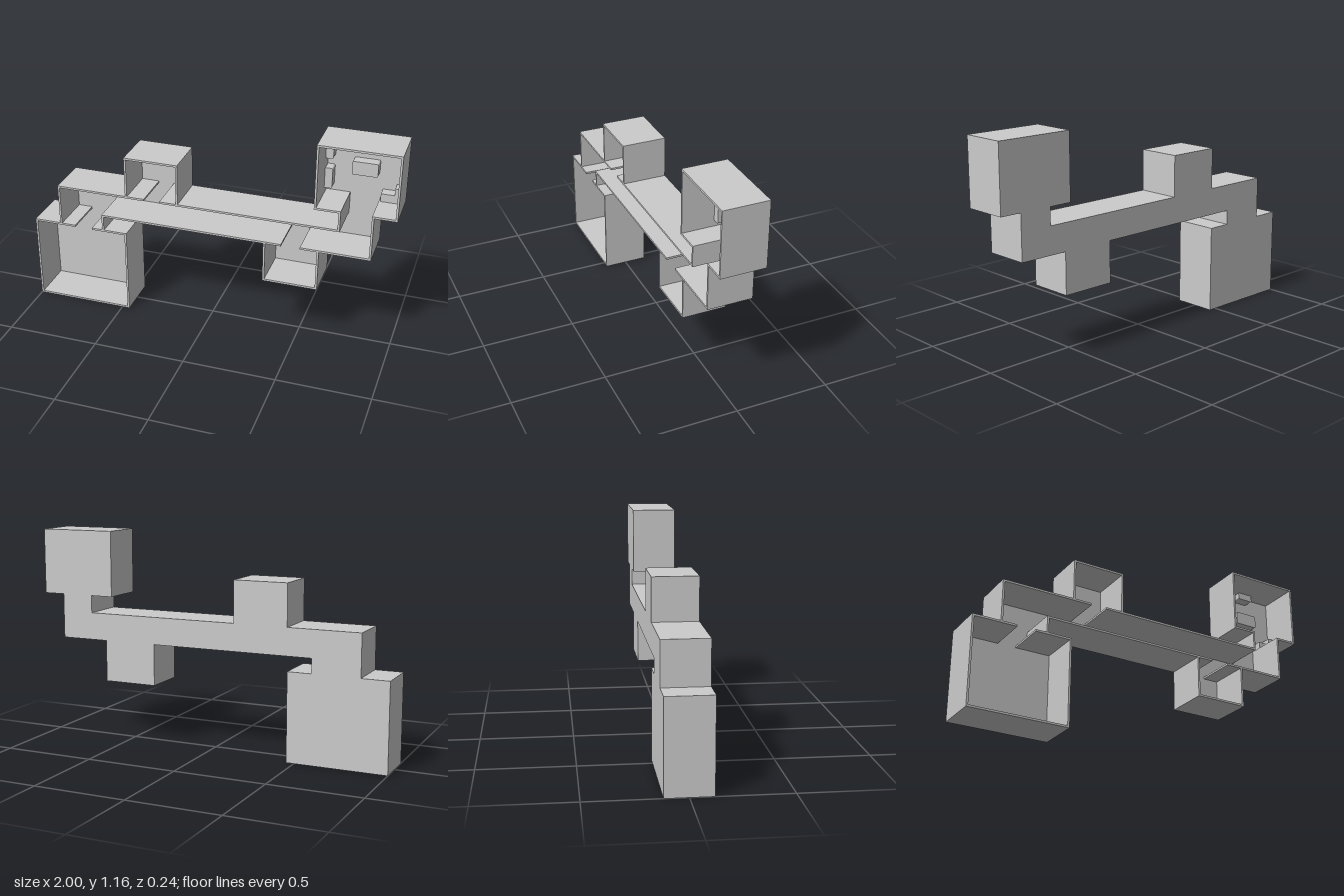
import * as THREE from 'three';

const T = 0.011;             // wall thickness
const BACK = -0.12, FRONT = 0.12;
const material = new THREE.MeshStandardMaterial({ color: 0xcccccc, flatShading: true });

const polygon = (points) => points.map(([x, y]) => new THREE.Vector2(x, y));

function slab(name, shape, z0, z1) {
  const geometry = new THREE.ExtrudeGeometry(shape, { depth: z1 - z0, bevelEnabled: false, curveSegments: 4 });
  geometry.translate(0, 0, z0);
  const mesh = new THREE.Mesh(geometry, material);
  mesh.name = name;
  return mesh;
}

// Rectangle with slightly rounded corners
function roundedRect(x0, x1, y0, y1, r = 0.008) {
  const s = new THREE.Shape();
  s.absarc(x1 - r, y1 - r, r, 0, Math.PI / 2);
  s.absarc(x0 + r, y1 - r, r, Math.PI / 2, Math.PI);
  s.absarc(x0 + r, y0 + r, r, Math.PI, Math.PI * 1.5);
  s.absarc(x1 - r, y0 + r, r, Math.PI * 1.5, Math.PI * 2);
  s.closePath();
  return s;
}

// Outer outline of the rooms and corridor, counter-clockwise
const outer = [
  [-1, 0], [-0.457, 0], [-0.457, 0.482], [-0.588, 0.482], [-0.588, 0.562],
  [0.313, 0.562], [0.313, 0.336], [0.61, 0.336], [0.61, 0.562], [0.88, 0.562],
  [0.88, 0.806], [0.997, 0.806], [0.997, 1.163], [0.573, 1.163], [0.573, 0.806],
  [0.7, 0.806], [0.7, 0.711], [-0.157, 0.711], [-0.157, 0.938], [-0.455, 0.938],
  [-0.455, 0.711], [-0.85, 0.711], [-0.85, 0.482], [-1, 0.482],
];

// Open space inside the walls, joined through the doorways
const inner = [
  [-1 + T, T], [-0.457 - T, T], [-0.457 - T, 0.482 - T],
  [-0.66, 0.482 - T], [-0.66, 0.482], [-0.588 - T, 0.482], [-0.588 - T, 0.562 + T],
  [0.409, 0.562 + T], [0.409, 0.562], [0.313 + T, 0.562], [0.313 + T, 0.336 + T],
  [0.61 - T, 0.336 + T], [0.61 - T, 0.562], [0.51, 0.562], [0.51, 0.562 + T],
  [0.88 - T, 0.562 + T], [0.88 - T, 0.806 + T], [0.997 - T, 0.806 + T],
  [0.997 - T, 1.163 - T], [0.573 + T, 1.163 - T], [0.573 + T, 0.806 + T],
  [0.7 + T, 0.806 + T], [0.7 + T, 0.711 - T],
  [-0.26, 0.711 - T], [-0.26, 0.711], [-0.157 - T, 0.711], [-0.157 - T, 0.938 - T],
  [-0.455 + T, 0.938 - T], [-0.455 + T, 0.711], [-0.348, 0.711], [-0.348, 0.711 - T],
  [-0.85 + T, 0.711 - T], [-0.85 + T, 0.482], [-0.76, 0.482], [-0.76, 0.482 - T],
  [-1 + T, 0.482 - T],
];

export function createModel() {
  const model = new THREE.Group();
  model.name = 'roomPlan';
  const floorTop = BACK + T;

  // Floor panel closing the back
  model.add(slab('floor', new THREE.Shape(polygon(outer)), BACK, floorTop));

  // Walls standing on the floor
  const wallShape = new THREE.Shape(polygon(outer));
  wallShape.holes.push(new THREE.Path(polygon(inner)));
  model.add(slab('walls', wallShape, floorTop, FRONT));

  // Furniture in the small end room
  const furniture = new THREE.Group();
  furniture.name = 'furniture';
  const pieces = [
    ['upperSideCabinet', 0.582, 0.624, 1.017, 1.122],
    ['lowerSideCabinet', 0.582, 0.624, 0.85, 0.963],
    ['endCabinet', 0.741, 0.833, 1.113, 1.154],
    ['table', 0.722, 0.855, 0.947, 1.02],
  ];
  for (const [name, ...rect] of pieces) {
    furniture.add(slab(name, roundedRect(...rect), floorTop, -0.052));
  }
  const corner = [[0.877, 0.815], [0.988, 0.815], [0.988, 0.899], [0.947, 0.899], [0.947, 0.861], [0.877, 0.861]];
  furniture.add(slab('cornerCounter', new THREE.Shape(polygon(corner)), floorTop, -0.052));
  model.add(furniture);

  return model;
}
